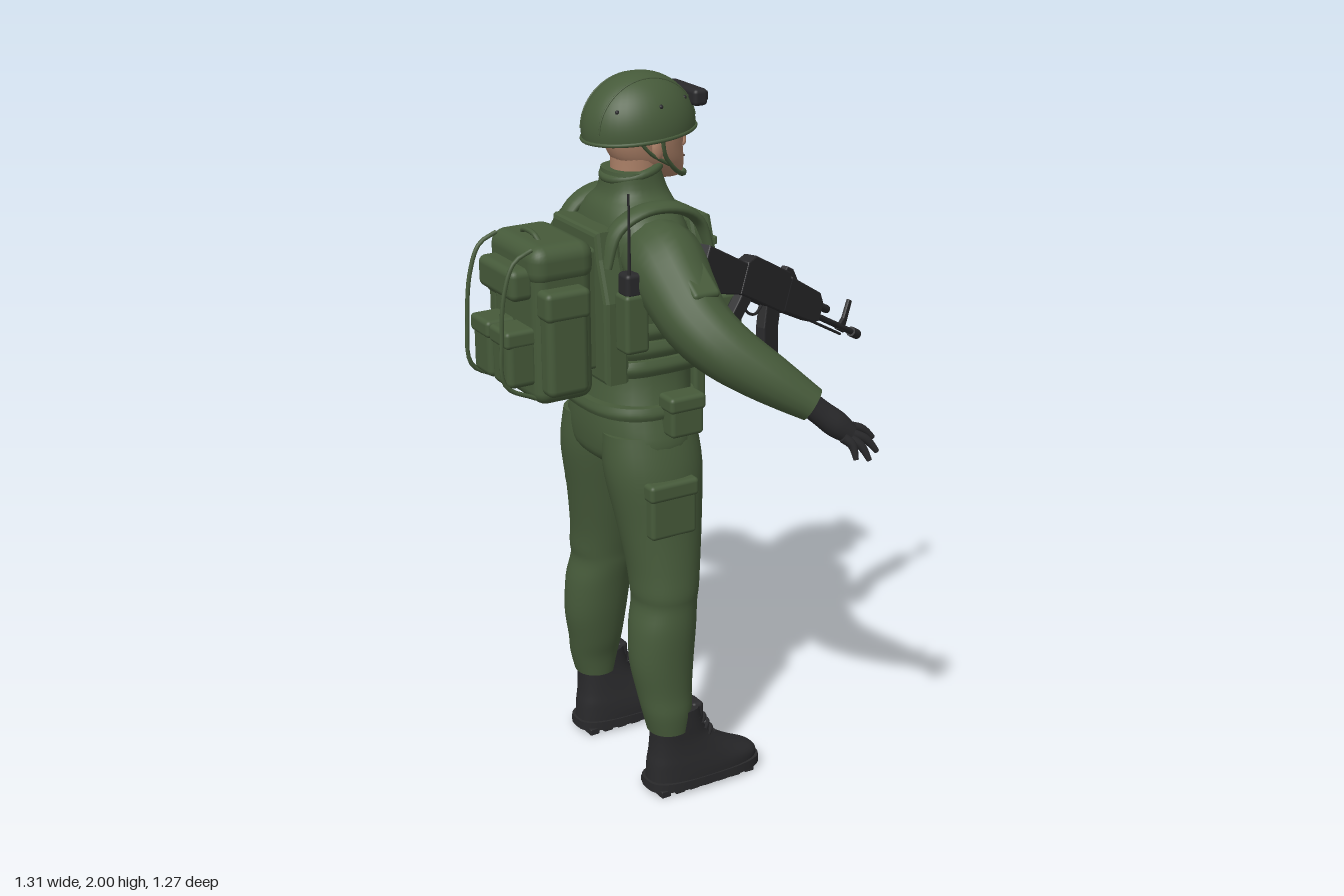
import * as THREE from 'three';
import { RoundedBoxGeometry } from 'three/addons/geometries/RoundedBoxGeometry.js';

const V = (x, y, z) => new THREE.Vector3(x, y, z);
const mat = (name, color) => Object.assign(new THREE.MeshStandardMaterial({ color }), { name });

// Smooth interpolation of rows of numbers
function refine(rows, steps) {
  const out = [], n = rows.length - 1;
  for (let k = 0; k <= n * steps; k++) {
    const i = Math.min(Math.floor(k / steps), n - 1), t = k / steps - i;
    const [a, b, c, d] = [Math.max(i - 1, 0), i, i + 1, Math.min(i + 2, n)].map((j) => rows[j]);
    out.push(b.map((_, m) => 0.5 * (2 * b[m] + (c[m] - a[m]) * t + (2 * a[m] - 5 * b[m] + 4 * c[m] - d[m]) * t * t
      + (3 * b[m] - a[m] - 3 * c[m] + d[m]) * t * t * t)));
  }
  return out;
}

// Closed skin over equal rings, with end caps
function skin(rings) {
  const n = rings[0].length, pos = [], idx = [];
  rings.forEach((r) => r.forEach((p) => pos.push(p.x, p.y, p.z)));
  for (let i = 0; i < rings.length - 1; i++) for (let j = 0; j < n; j++) {
    const a = i * n + j, b = i * n + (j + 1) % n;
    idx.push(a, a + n, b, b, a + n, b + n);
  }
  [rings[0], rings[rings.length - 1]].forEach((r, e) => {
    const c = r.reduce((s, p) => s.add(p), V(0, 0, 0)).divideScalar(n), base = pos.length / 3;
    r.forEach((p) => pos.push(p.x, p.y, p.z));
    pos.push(c.x, c.y, c.z);
    for (let j = 0; j < n; j++) {
      const a = base + j, b = base + (j + 1) % n;
      e ? idx.push(a, base + n, b) : idx.push(a, b, base + n);
    }
  });
  const g = new THREE.BufferGeometry();
  g.setAttribute('position', new THREE.Float32BufferAttribute(pos, 3));
  g.setIndex(idx);
  g.computeVertexNormals();
  return g;
}

// Horizontal rings from rows [y, x0, x1, z0, z1], rising in y; pw < 1 squares the ring
function stack(rows, pw = 0.85, steps = 4, n = 32) {
  const f = (v) => Math.sign(v) * Math.abs(v) ** pw;
  return skin(refine(rows, steps).map(([y, x0, x1, z0, z1]) => Array.from({ length: n }, (_, j) => {
    const a = j / n * Math.PI * 2;
    return V((x0 + x1) / 2 + (x1 - x0) / 2 * f(Math.cos(a)), y, (z0 + z1) / 2 + (z1 - z0) / 2 * f(Math.sin(a)));
  })));
}
const sym = (rows) => rows.map(([y, x0, x1, z]) => [y, x0, x1, -z, z]);

// Elliptic section swept along rows [x, y, z, ru, rv]; ru lies along ref
function limb(rows, ref = V(1, 0, 0), steps = 5, n = 16) {
  const pts = refine(rows, steps);
  return skin(pts.map((p, i) => {
    const a = pts[Math.max(i - 1, 0)], b = pts[Math.min(i + 1, pts.length - 1)];
    const t = V(b[0] - a[0], b[1] - a[1], b[2] - a[2]).normalize();
    const u = ref.clone().addScaledVector(t, -ref.dot(t)).normalize(), v = u.clone().cross(t);
    return Array.from({ length: n }, (_, j) => V(p[0], p[1], p[2])
      .addScaledVector(u, p[3] * Math.cos(j / n * Math.PI * 2)).addScaledVector(v, p[4] * Math.sin(j / n * Math.PI * 2)));
  }));
}

// Side profile extruded to a centred width
function slab(pts, w, bevel = 0.004) {
  const g = new THREE.ExtrudeGeometry(new THREE.Shape(pts.map((p) => new THREE.Vector2(...p))),
    { depth: w - 2 * bevel, bevelSize: bevel, bevelThickness: bevel, bevelSegments: 2 });
  return g.translate(0, 0, bevel - w / 2);
}
const tube = (pts, r) => new THREE.TubeGeometry(new THREE.CatmullRomCurve3(pts.map((p) => V(...p))), 24, r, 8);

export function createModel() {
  const root = new THREE.Group();
  const green = mat('olive green', 0x465a3a), black = mat('gear black', 0x29292b);
  const flesh = mat('skin', 0xab8067), brown = mat('dark brown', 0x3a2b24);
  const shell = mat('helmet green', 0x465a3a);
  shell.side = THREE.DoubleSide;
  const add = (name, geo, m, parent = root) => {
    const o = new THREE.Mesh(geo, m);
    o.name = name;
    parent.add(o);
    return o;
  };
  // Rounded box given by its extents
  const box = (name, x0, x1, y0, y1, z0, z1, m = green, r = 0.012, parent = root) => {
    const d = [x1 - x0, y1 - y0, z1 - z0];
    const o = add(name, new RoundedBoxGeometry(...d, 3, Math.min(r, Math.min(...d) * 0.45)), m, parent);
    o.position.set((x0 + x1) / 2, (y0 + y1) / 2, (z0 + z1) / 2);
    return o;
  };

  // Body
  add('torso', stack(sym([[0.93, -0.27, -0.15, 0.05], [0.97, -0.34, -0.09, 0.17], [1.02, -0.355, -0.072, 0.215], [1.1, -0.355, -0.07, 0.197],
    [1.2, -0.34, -0.06, 0.168], [1.3, -0.33, -0.05, 0.165], [1.42, -0.33, -0.04, 0.185], [1.52, -0.33, -0.05, 0.2],
    [1.6, -0.325, -0.08, 0.19], [1.655, -0.31, -0.095, 0.14], [1.695, -0.285, -0.11, 0.095], [1.75, -0.275, -0.13, 0.083]])), green);
  const collar = add('collar', new THREE.TorusGeometry(0.076, 0.012, 10, 32), green);
  collar.rotation.set(Math.PI / 2, 0.22, 0);
  collar.position.set(-0.2, 1.745, 0);

  // Head and face
  add('neck', stack(sym([[1.66, -0.26, -0.13, 0.062], [1.73, -0.255, -0.12, 0.064], [1.8, -0.255, -0.12, 0.066]]), 1), flesh);
  add('head', stack(sym([[1.713, -0.12, -0.062, 0.022], [1.728, -0.16, -0.05, 0.04], [1.76, -0.235, -0.05, 0.062], [1.8, -0.265, -0.055, 0.074],
    [1.85, -0.275, -0.053, 0.079], [1.91, -0.27, -0.065, 0.078], [1.96, -0.23, -0.1, 0.045]])), flesh);
  add('nose', limb([[-0.054, 1.842, 0, 0.006, 0.007], [-0.045, 1.815, 0, 0.01, 0.01], [-0.045, 1.797, 0, 0.009, 0.015], [-0.052, 1.788, 0, 0.004, 0.01]].reverse()), flesh);
  box('mouth', -0.058, -0.048, 1.762, 1.767, -0.022, 0.022, brown, 0.002);
  for (const s of [1, -1]) {
    add('ear', new THREE.SphereGeometry(1, 14, 10).scale(0.018, 0.032, 0.01).translate(-0.165, 1.81, s * 0.08), flesh);
    box('eye', -0.067, -0.056, 1.826, 1.835, s * 0.031 - 0.011, s * 0.031 + 0.011, brown, 0.004);
    box('brow', -0.066, -0.052, 1.843, 1.849, s * 0.033 - 0.016, s * 0.033 + 0.016, brown, 0.003);
    add('chinStrap', tube([[-0.16, 1.85, s * 0.095], [-0.145, 1.79, s * 0.083], [-0.1, 1.74, s * 0.062], [-0.05, 1.715, s * 0.02]], 0.006), green);
    add('rearStrap', tube([[-0.235, 1.85, s * 0.09], [-0.19, 1.8, s * 0.085], [-0.125, 1.76, s * 0.071]], 0.005), green);
  }
  box('chinCup', -0.065, -0.042, 1.708, 1.73, -0.026, 0.026);

  // Helmet
  const helmet = new THREE.Group();
  helmet.name = 'helmet';
  helmet.position.set(-0.177, 1.855, 0);
  helmet.rotation.z = 0.08;
  root.add(helmet);
  add('helmetShell', new THREE.SphereGeometry(1, 40, 20, 0, Math.PI * 2, 0, Math.PI * 0.53).scale(0.157, 0.145, 0.129), shell, helmet);
  add('helmetRim', new THREE.TorusGeometry(1, 0.035, 8, 48).rotateX(Math.PI / 2).scale(0.156, 0.15, 0.128).translate(0, -0.013, 0), green, helmet);
  for (const s of [1, -1]) {
    const seam = Array.from({ length: 13 }, (_, i) => {
      const a = 0.1 + i / 12 * (Math.PI - 0.2);
      return [0.145 * Math.cos(a), 0.134 * Math.sin(a), s * 0.05];
    });
    add('helmetSeam', tube(seam, 0.0025), green, helmet);
    for (const a of [0.7, 1.5, 2.4]) {
      add('helmetBolt', new THREE.SphereGeometry(0.006, 8, 6).translate(0.135 * Math.cos(a), 0.07, s * 0.111 * Math.sin(a)), black, helmet);
    }
  }
  box('goggleMount', -0.055, -0.012, 1.905, 1.95, -0.083, 0.083, black);
  box('goggleLens', -0.02, -0.004, 1.915, 1.942, -0.07, 0.07, black, 0.006);

  // Limbs, mirrored
  for (const s of [1, -1]) {
    const side = (rows) => rows.map(([y, x0, x1, a, b]) => (s > 0 ? [y, x0, x1, a, b] : [y, x0, x1, -b, -a]));
    add('leg', stack(side([[0.19, -0.28, -0.165, 0.15, 0.272], [0.25, -0.295, -0.155, 0.142, 0.276], [0.31, -0.305, -0.148, 0.125, 0.27], [0.4, -0.32, -0.138, 0.107, 0.27],
      [0.5, -0.316, -0.128, 0.092, 0.272], [0.57, -0.3, -0.122, 0.08, 0.268], [0.61, -0.303, -0.116, 0.075, 0.27], [0.68, -0.307, -0.105, 0.06, 0.262],
      [0.8, -0.325, -0.087, 0.035, 0.248], [0.95, -0.352, -0.073, 0.01, 0.235], [1.06, -0.35, -0.08, 0.01, 0.205]]), 0.95), green);
    box('thighPocket', -0.29, -0.15, 0.785, 0.92, s * 0.23 - 0.022, s * 0.23 + 0.022);
    box('thighFlap', -0.295, -0.145, 0.895, 0.945, s * 0.23 - 0.027, s * 0.23 + 0.027);

    // Boot with sole, lugs and laces
    add('boot', stack(side([[0.03, -0.285, 0.06, 0.138, 0.277], [0.06, -0.283, 0.057, 0.138, 0.277], [0.09, -0.28, 0.0, 0.142, 0.274], [0.12, -0.275, -0.05, 0.148, 0.27],
      [0.16, -0.272, -0.1, 0.155, 0.267], [0.2, -0.272, -0.122, 0.16, 0.268], [0.25, -0.268, -0.135, 0.162, 0.268]]), 0.75), black);
    add('sole', stack(side([[0.012, -0.292, 0.066, 0.134, 0.281], [0.038, -0.292, 0.066, 0.134, 0.281]]), 0.65, 1), black);
    for (let i = 0; i < 7; i++) box('soleLug', -0.275 + i * 0.046, -0.245 + i * 0.046, 0, 0.02, s * 0.207 - 0.06, s * 0.207 + 0.06, black, 0.003);
    for (let i = 0; i < 6; i++) {
      const x = -0.075 - i * 0.011, y = 0.13 + i * 0.021;
      add('lace', tube([[x - 0.03, y, s * 0.215 - 0.04], [x, y + 0.006, s * 0.215], [x - 0.03, y, s * 0.215 + 0.04]], 0.006), black);
    }
    box('bootTongue', -0.16, -0.122, 0.15, 0.255, s * 0.215 - 0.03, s * 0.215 + 0.03, black);

    // Arm and gloved hand
    const out = (rows) => rows.map(([x, y, z, a, b = a]) => [x, y, s * z, a, b]);
    add('arm', limb(out([[-0.21, 1.55, 0.1, 0.09], [-0.21, 1.535, 0.18, 0.108], [-0.212, 1.48, 0.26, 0.1], [-0.205, 1.415, 0.34, 0.09], [-0.165, 1.355, 0.415, 0.08],
      [-0.08, 1.285, 0.49, 0.066], [0.01, 1.218, 0.553, 0.046]])), green);
    const patch = box('sleevePocket', -0.04, 0.04, -0.055, 0.055, -0.016, 0.016);
    patch.position.set(-0.2, 1.52, s * 0.335);
    patch.rotation.x = -s * 0.95;
    add('glovePalm', limb(out([[-0.005, 1.228, 0.543, 0.034], [0.03, 1.195, 0.56, 0.034, 0.028], [0.07, 1.16, 0.573, 0.036, 0.03], [0.105, 1.13, 0.585, 0.028, 0.024]])), black);
    const fingers = [[0.1, 1.145, 0.565, 0.187, 1.1, 0.575], [0.105, 1.13, 0.58, 0.18, 1.072, 0.605], [0.09, 1.125, 0.595, 0.14, 1.063, 0.628], [0.075, 1.13, 0.6, 0.1, 1.072, 0.625],
      [0.04, 1.175, 0.55, 0.14, 1.14, 0.498]];
    for (const [a, b, c, d, e, f] of fingers) {
      add('finger', limb(out([[a, b, c, 0.014], [(a + d) / 2 + 0.008, (b + e) / 2 + 0.008, (c + f) / 2, 0.012], [d, e, f, 0.007]])), black);
    }

    // Shoulder straps
    add('vestStrap', limb([[-0.045, 1.54, s * 0.125, 0.03, 0.014], [-0.07, 1.615, s * 0.125, 0.03, 0.014], [-0.14, 1.66, s * 0.13, 0.034, 0.016], [-0.24, 1.665, s * 0.13, 0.034, 0.016],
      [-0.32, 1.62, s * 0.125, 0.03, 0.016], [-0.35, 1.53, s * 0.12, 0.03, 0.014]], V(0, 0, 1)), green);
  }

  // Vest
  const plate = (w, top) => slab([[-w, 1.23], [w, 1.23], [w, 1.44], [w - 0.035, 1.55], [top, 1.61], [-top, 1.61], [0.035 - w, 1.55], [-w, 1.44]], 0.07, 0.012).rotateY(Math.PI / 2);
  add('frontPlate', plate(0.155, 0.1), green).position.x = -0.055;
  add('backPlate', plate(0.155, 0.11), green).position.x = -0.34;
  for (let i = 0; i < 3; i++) {
    const y = 1.225 + i * 0.05;
    add('sideBand', stack(sym([[y, -0.36, -0.03, 0.175], [y + 0.022, -0.37, -0.02, 0.183], [y + 0.044, -0.36, -0.03, 0.175]]), 0.6), green);
  }
  for (let i = 0; i < 4; i++) for (let j = 0; j < 6; j++) {
    const z = -0.11 + j * 0.044;
    box('webbing', -0.024, -0.013, 1.43 + i * 0.037, 1.452 + i * 0.037, z - 0.019, z + 0.019, green, 0.003);
  }
  for (let i = 0; i < 4; i++) {
    const z = -0.118 + i * 0.077;
    box('magazinePouch', -0.03, 0.06, 1.2, 1.38, z - 0.033, z + 0.033);
    box('pouchFlap', -0.028, 0.068, 1.345, 1.405, z - 0.035, z + 0.035);
    box('pouchBuckle', 0.062, 0.074, 1.32, 1.36, z - 0.008, z + 0.008, black, 0.003);
  }
  box('groinFlap', -0.05, -0.012, 1.085, 1.24, -0.075, 0.075);

  // Belt and its pouches
  add('belt', stack(sym([[1.11, -0.37, -0.062, 0.203], [1.125, -0.375, -0.055, 0.207], [1.145, -0.37, -0.06, 0.2]]), 0.8), green);
  for (const s of [1, -1]) {
    box('hipPouch', -0.225, -0.125, 1.065, 1.17, s * 0.215 - 0.033, s * 0.215 + 0.033);
    box('hipPouchFlap', -0.23, -0.12, 1.135, 1.18, s * 0.215 - 0.037, s * 0.215 + 0.037);
  }
  box('canteenPouch', -0.37, -0.27, 1.1, 1.225, -0.28, -0.19, green, 0.025);

  // Radio
  box('radioPouch', -0.355, -0.285, 1.32, 1.48, 0.175, 0.24);
  box('radio', -0.35, -0.29, 1.47, 1.535, 0.182, 0.235, black);
  add('antenna', new THREE.CylinderGeometry(0.003, 0.005, 0.22, 8).translate(-0.337, 1.635, 0.225), black);

  // Backpack
  box('packBody', -0.555, -0.385, 1.18, 1.58, -0.13, 0.13, green, 0.035);
  box('packLid', -0.562, -0.38, 1.5, 1.608, -0.136, 0.136, green, 0.04);
  for (const s of [1, -1]) {
    box('packSidePocket', -0.545, -0.425, 1.215, 1.46, s * 0.145 - 0.03, s * 0.145 + 0.03, green, 0.02);
    box('packSideFlap', -0.55, -0.42, 1.42, 1.5, s * 0.145 - 0.034, s * 0.145 + 0.034, green, 0.016);
    box('packLowerPocket', -0.627, -0.54, 1.235, 1.385, s * 0.055 - 0.05, s * 0.055 + 0.05, green, 0.018);
    box('packLowerFlap', -0.633, -0.54, 1.345, 1.392, s * 0.055 - 0.052, s * 0.055 + 0.052);
    add('packStrap', tube([[-0.55, 1.6, s * 0.1], [-0.6, 1.575, s * 0.1], [-0.63, 1.5, s * 0.1], [-0.642, 1.38, s * 0.1], [-0.635, 1.25, s * 0.1], [-0.55, 1.2, s * 0.1]], 0.006), green);
    box('packHarness', -0.4, -0.36, 1.25, 1.58, s * 0.085 - 0.025, s * 0.085 + 0.025);
  }
  box('packUpperPocket', -0.61, -0.54, 1.465, 1.55, -0.1, 0.1, green, 0.02);
  add('packHandle', tube([[-0.5, 1.6, -0.05], [-0.505, 1.618, -0.03], [-0.505, 1.618, 0.03], [-0.5, 1.6, 0.05]], 0.007), green);

  // Rifle, built along its own x axis from the butt
  const rifle = new THREE.Group(), dir = V(0.775, -0.44, -0.375).normalize();
  rifle.name = 'rifle';
  const right = dir.clone().cross(V(0, 1, 0)).normalize();
  rifle.quaternion.setFromRotationMatrix(new THREE.Matrix4().makeBasis(dir, right.clone().cross(dir), right));
  rifle.position.set(-0.13, 1.53, 0.235);
  root.add(rifle);
  const part = (name, pts, w) => add(name, slab(pts, w), black, rifle);
  part('stock', [[0, -0.065], [0.04, -0.062], [0.23, -0.025], [0.23, 0.05], [0.17, 0.05], [0, 0.05]], 0.036);
  part('receiver', [[0.21, -0.028], [0.46, -0.028], [0.46, 0.06], [0.44, 0.078], [0.24, 0.078], [0.21, 0.055]], 0.042);
  part('grip', [[0.23, -0.025], [0.19, -0.125], [0.225, -0.138], [0.28, -0.025]], 0.03);
  part('magazine', [[0.37, -0.02], [0.39, -0.09], [0.42, -0.15], [0.46, -0.21], [0.52, -0.18], [0.483, -0.125], [0.455, -0.07], [0.443, -0.02]], 0.03);
  part('handguard', [[0.46, -0.024], [0.64, -0.018], [0.67, -0.008], [0.67, 0.04], [0.64, 0.062], [0.46, 0.068]], 0.044);
  part('rearSight', [[0.43, 0.07], [0.52, 0.066], [0.47, 0.092], [0.44, 0.092]], 0.022);
  part('frontSight', [[0.83, -0.005], [0.87, -0.005], [0.872, 0.085], [0.86, 0.085], [0.855, 0.03]], 0.012);
  add('triggerGuard', tube([[0.27, -0.03, 0], [0.285, -0.062, 0], [0.34, -0.062, 0], [0.365, -0.03, 0]], 0.004), black, rifle);
  for (const [name, a, b, y, r] of [['barrel', 0.65, 0.95, 0.004, 0.009], ['muzzleBrake', 0.925, 0.967, 0.004, 0.015], ['gasTube', 0.64, 0.74, 0.034, 0.012], ['cleaningRod', 0.65, 0.86, -0.016, 0.004]]) {
    add(name, new THREE.CylinderGeometry(r, r, b - a, 14).rotateZ(Math.PI / 2).translate((a + b) / 2, y, 0), black, rifle);
  }
  return root;
}
